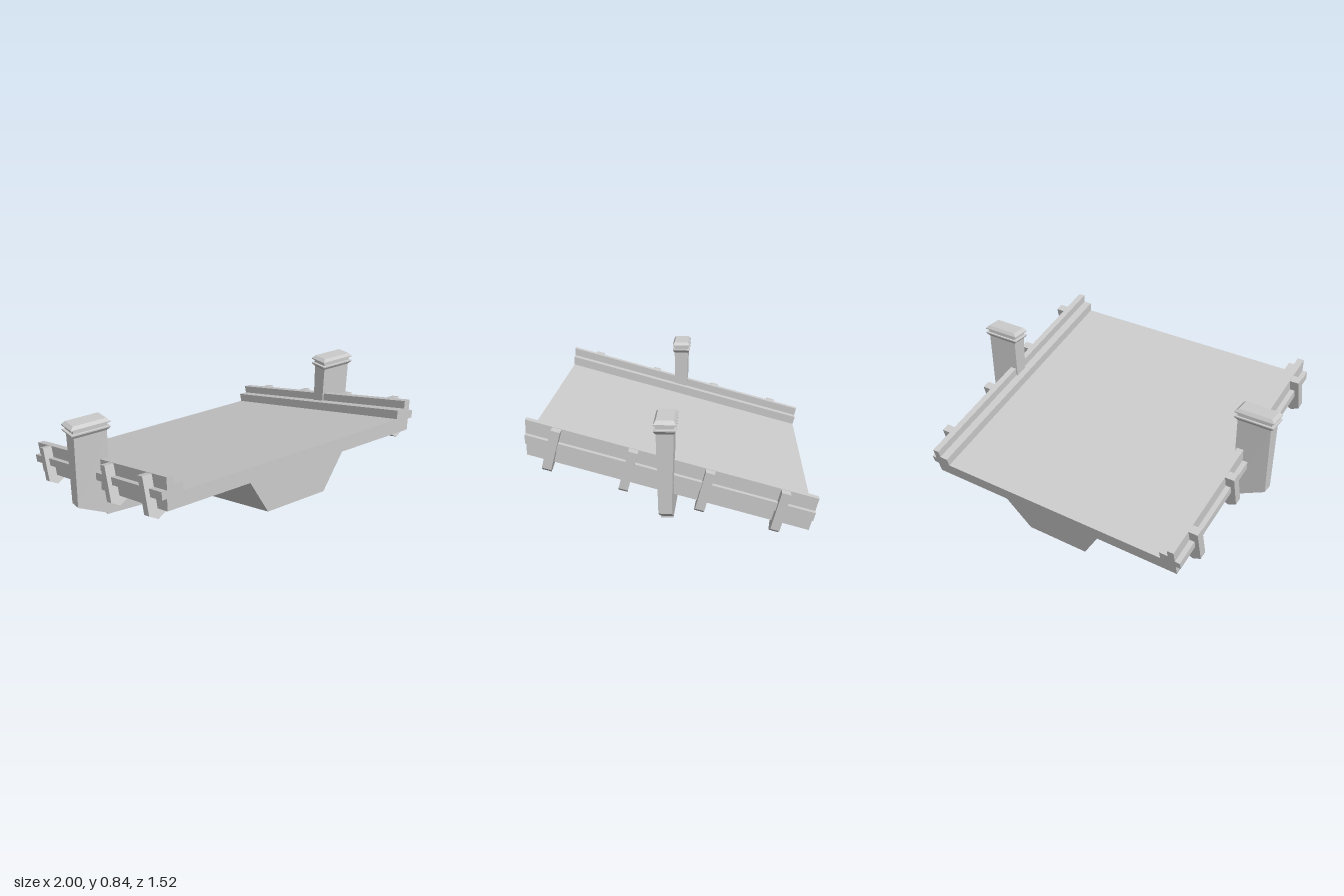
import * as THREE from 'three';

const SLOPE = 0.27;   // fall of the deck from front to back
const LEAN = 0.25;    // z offset per unit of height for cuts square to the deck
const TOP = 0.79;     // rail height at the front edge
const FRONT = 0.76;
const PILLAR_Z = 0.034;

const material = new THREE.MeshStandardMaterial({ color: 0xcccccc, flatShading: true });

function mesh(name, geometry) {
  const m = new THREE.Mesh(geometry, material);
  m.name = name;
  return m;
}

// Extrudes a section along the sloping deck; ends are square to the slope unless plumb
function slopedExtrude(points, zBack, zFront, plumbFront = false) {
  const shape = new THREE.Shape(points.map(([x, y]) => new THREE.Vector2(x, y)));
  const g = new THREE.ExtrudeGeometry(shape, { depth: 1, bevelEnabled: false });
  const p = g.attributes.position;
  for (let i = 0; i < p.count; i++) {
    const h = p.getY(i);
    const lean = LEAN * (TOP - h);
    const z = p.getZ(i) > 0.5 ? zFront + (plumbFront ? 0 : lean) : zBack + lean;
    p.setY(i, h - (FRONT - z) * SLOPE);
    p.setZ(i, z);
  }
  g.computeVertexNormals();
  return g;
}

// Closed skin over a row of four-cornered rings
function loft(rings) {
  const index = [];
  const last = (rings.length - 1) * 4;
  for (let r = 0; r < last; r += 4) {
    for (let i = 0; i < 4; i++) {
      const a = r + i, b = r + (i + 1) % 4;
      index.push(a, b, b + 4, a, b + 4, a + 4);
    }
  }
  index.push(0, 2, 1, 0, 3, 2, last, last + 1, last + 2, last, last + 2, last + 3);
  const g = new THREE.BufferGeometry();
  g.setAttribute('position', new THREE.Float32BufferAttribute(rings.flat(2), 3));
  g.setIndex(index);
  const flat = g.toNonIndexed();
  flat.computeVertexNormals();
  return flat;
}

// Horizontal ring of the pillar; the inner and outer edges may differ in height
function pillarRing(yIn, yOut, halfZ, grow = 0) {
  const x0 = 0.78 - grow, x1 = 0.98 + grow, z = halfZ + grow * 0.65;
  return [[x0, yIn, z], [x1, yOut, z], [x1, yOut, -z], [x0, yIn, -z]];
}

// Upright ring of the arm
function armRing(x, yBottom, yTop, halfBottom, halfTop) {
  return [[x, yBottom, halfBottom], [x, yBottom, -halfBottom], [x, yTop, -halfTop], [x, yTop, halfTop]];
}

export function createModel() {
  const model = new THREE.Group();
  model.name = 'slopedBridgeSection';

  // Deck with keel, kerbs and rails in one section
  const half = [
    [0.197, 0.388], [0.32, 0.6], [0.83, 0.6], [0.83, 0.67], [0.86, 0.67], [0.86, 0.717],
    [0.83, 0.717], [0.83, TOP], [0.79, TOP], [0.79, 0.743], [0.738, 0.743], [0.738, 0.69],
  ];
  const section = [...half, ...half.map(([x, y]) => [-x, y]).reverse()];
  model.add(mesh('deck', slopedExtrude(section, -0.76, FRONT, true)));

  // Brackets clasping the outside of each rail
  const bracket = [
    [0.825, TOP - 0.002], [0.885, TOP - 0.002], [0.885, 0.572], [0.835, 0.543],
    [0.785, 0.572], [0.785, 0.605], [0.825, 0.605],
  ];
  for (const side of [1, -1]) {
    const profile = bracket.map(([x, y]) => [x * side, y]);
    for (const z of [0.596, 0.202, -0.194, -0.586]) {
      model.add(mesh('railBracket', slopedExtrude(profile, z - 0.024, z + 0.024)));
    }
  }

  // Pillars with double-flared caps, each carried on an arm from the keel
  const pillar = loft([
    pillarRing(0.245, 0.345, 0.034),
    pillarRing(0.77, 0.77, 0.045),
    ...[[0.788, 0.018], [0.795, 0.018], [0.797, 0.003], [0.815, 0.003],
      [0.817, 0.018], [0.824, 0.018], [0.842, 0]].map(([y, grow]) => pillarRing(y, y, 0.045, grow)),
  ]);
  const arm = loft([
    armRing(0.18, 0.219, 0.395, 0.04, 0.064),
    armRing(0.8, 0.246, 0.395, 0.033, 0.036),
  ]);
  for (const turn of [0, Math.PI]) {
    const support = new THREE.Group();
    support.name = turn ? 'rightSupport' : 'leftSupport';
    support.add(mesh('pillar', pillar), mesh('supportArm', arm));
    support.position.z = PILLAR_Z;
    support.rotation.y = turn;
    model.add(support);
  }
  return model;
}
